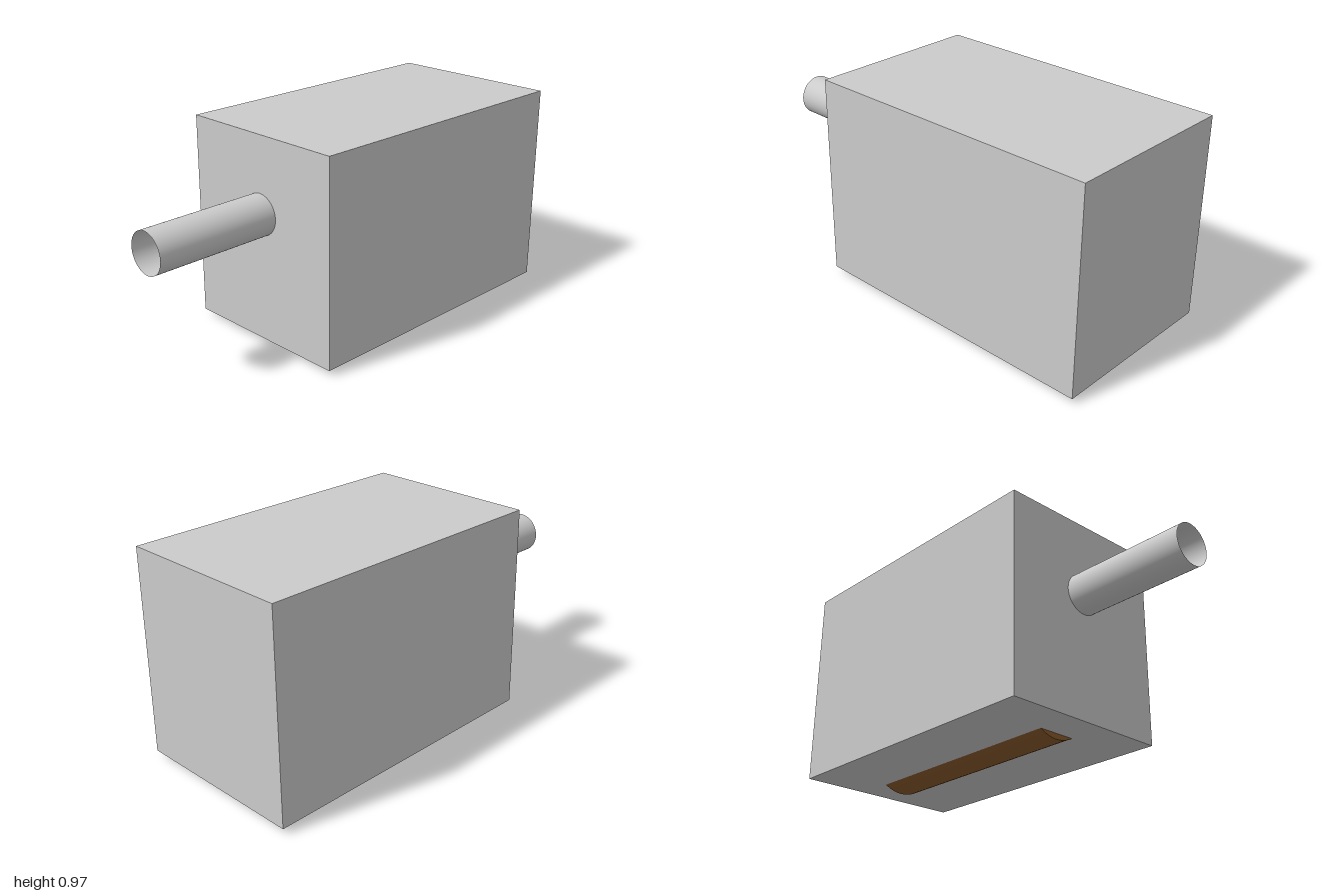
import * as THREE from 'three';

const U = 2 / 34; // design unit: overall length is 34 units

export function createModel() {
  const model = new THREE.Group();
  const grey = new THREE.MeshStandardMaterial({ color: 0xcccccc });
  const openGrey = new THREE.MeshStandardMaterial({ color: 0xcccccc, side: THREE.DoubleSide });
  const brown = new THREE.MeshStandardMaterial({ color: 0x8b5a2b });

  const add = (name, geometry, material, x, y) => {
    const mesh = new THREE.Mesh(geometry, material);
    mesh.name = name;
    mesh.position.set(x * U, y * U, 0);
    model.add(mesh);
  };

  // Cylinder lying along x
  const rod = (radius, length, open) =>
    new THREE.CylinderGeometry(radius * U, radius * U, length * U, 64, 1, open).rotateZ(Math.PI / 2);

  // Housing block, raised slightly by the roller
  add('housing', new THREE.BoxGeometry(24 * U, 16 * U, 14 * U), grey, 5, 8.45);

  // Thin open pipe leaving the right side
  add('pipe', rod(1.6, 10, true), openGrey, -12, 10.45);

  // Roller mostly sunk in the housing, showing through its underside
  add('roller', rod(3, 18, false), brown, 5, 3);

  return model;
}
